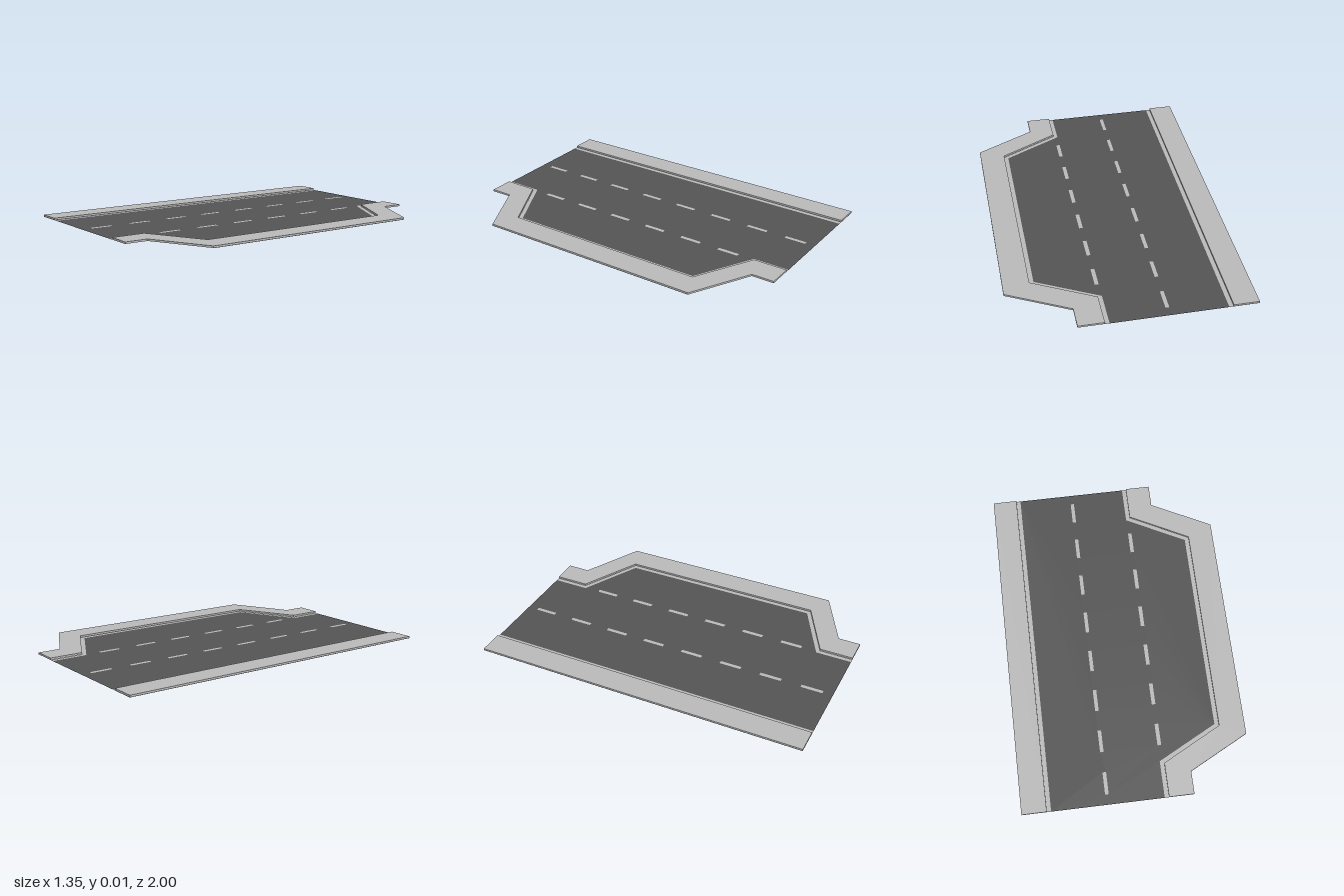
import * as THREE from 'three';

const HEIGHT = 0.012; // kerb height
const LIFT = 0.001;   // pavement sits just above the base slab

// Closed shape from plan points [x, z]
const plan = (points) => new THREE.Shape(points.map(([x, z]) => new THREE.Vector2(x, z)));
const rect = (x0, x1, z0, z1) => [[x0, z0], [x1, z0], [x1, z1], [x0, z1]];

// Continue a half edge line (back to middle) to the front by mirroring in z
const mirrored = (half) => [...half, ...half.map(([x, z]) => [x, -z]).reverse()];
const band = (inner, outer) => [...mirrored(inner), ...mirrored(outer).reverse()];

export function createModel() {
  const group = new THREE.Group();

  const asphalt = new THREE.MeshStandardMaterial({ color: 0x555555, side: THREE.DoubleSide });
  asphalt.name = 'asphalt';
  const concrete = new THREE.MeshStandardMaterial({ color: 0xbbbbbb, side: THREE.DoubleSide });
  concrete.name = 'concrete';

  const add = (name, geometry, material) => {
    const mesh = new THREE.Mesh(geometry, material);
    mesh.name = name;
    group.add(mesh);
  };
  const flat = (name, shapes, material) =>
    add(name, new THREE.ShapeGeometry(shapes).rotateX(Math.PI / 2), material);
  const raised = (name, points) => {
    const geometry = new THREE.ExtrudeGeometry(plan(points), { depth: HEIGHT - LIFT, bevelEnabled: false });
    add(name, geometry.rotateX(Math.PI / 2).translate(0, HEIGHT, 0), concrete);
  };

  // Edge lines of the side with the lay-by, from the back to the middle
  const roadEdge = [[0.15, -1], [0.15, -0.785], [0.5, -0.603]];
  const kerbEdge = [[0.175, -1], [0.175, -0.8], [0.525, -0.617]];
  const outerEdge = [[0.322, -1], [0.322, -0.867], [0.675, -0.685]];

  // Lane dashes: eight in the main line, six along the lay-by
  const dashes = [];
  for (let i = 0; i < 8; i++) {
    const z = -0.875 + i * 0.25;
    dashes.push(rect(-0.188, -0.167, z - 0.065, z + 0.065));
    if (i > 0 && i < 7) dashes.push(rect(0.15, 0.172, z - 0.065, z + 0.065));
  }
  flat('laneDashes', dashes.map(plan), concrete);

  // Road surface, cut out where the dashes are inlaid
  const road = plan([[-0.505, 1], [-0.505, -1], ...mirrored(roadEdge)]);
  road.holes = dashes.map((d) => new THREE.Path(d.map(([x, z]) => new THREE.Vector2(x, z))));
  flat('road', road, asphalt);

  // Gutter strips at road level
  flat('rightGutter', plan(rect(-0.53, -0.505, -1, 1)), concrete);
  flat('leftGutter', plan(band(roadEdge, kerbEdge)), concrete);

  // Raised pavements
  raised('rightPavement', rect(-0.675, -0.53, -1, 1));
  raised('leftPavement', band(kerbEdge, outerEdge));

  // Base slabs under the straight pavements
  flat('rightBase', plan(rect(-0.675, -0.53, -1, 1)), asphalt);
  flat('leftBase', plan(band([kerbEdge[2]], [outerEdge[2]])), asphalt);

  return group;
}
